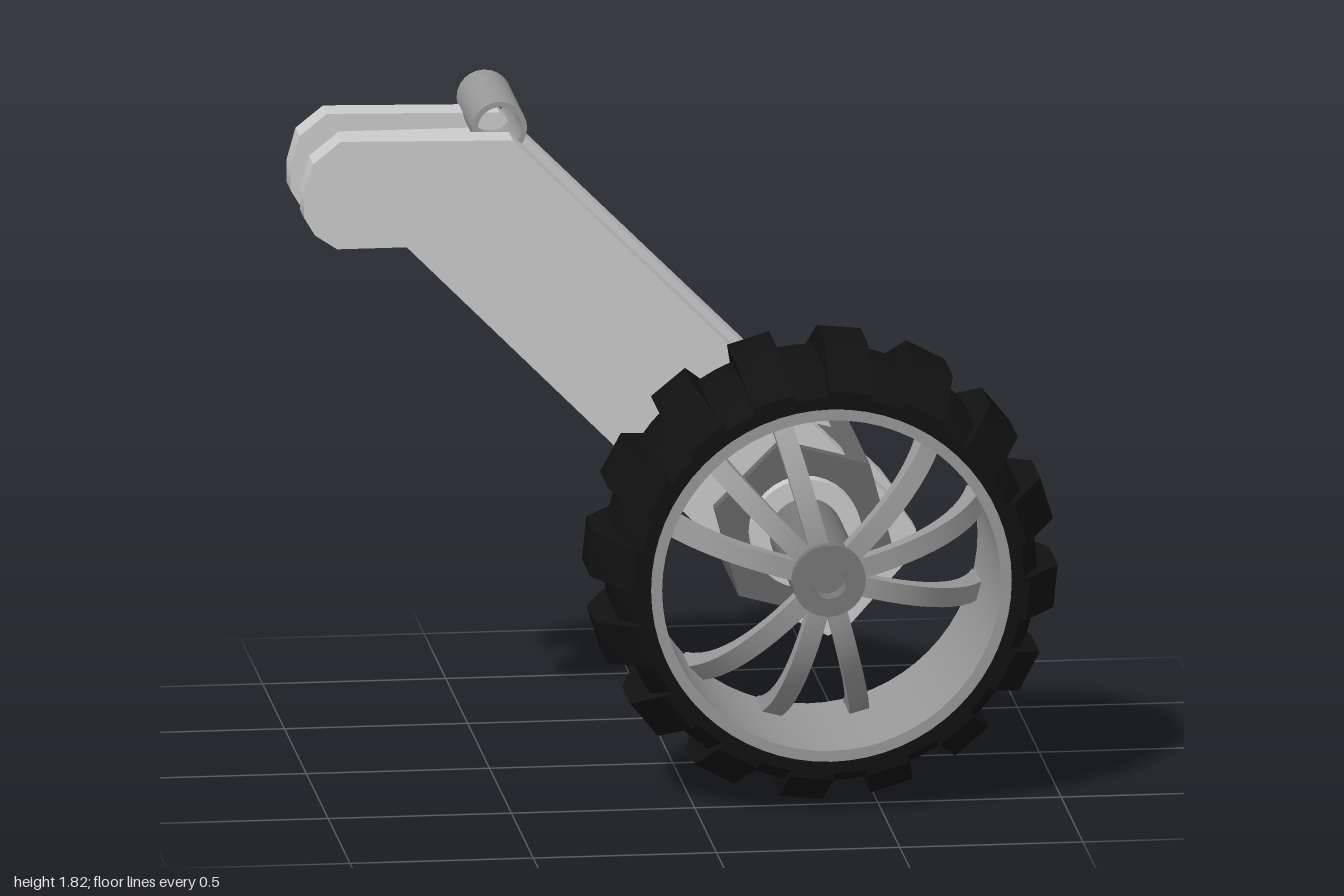
import * as THREE from 'three';
import { toCreasedNormals } from 'three/addons/utils/BufferGeometryUtils.js';

const AXLE = [0.36, 0.638];
const paint = (color) => new THREE.MeshStandardMaterial({ color, side: THREE.DoubleSide });
const light = paint(0xcccccc), metal = paint(0x999999), dark = paint(0x666666);
const rubber = paint(0x111111), capBlack = paint(0x262626);

const deg = THREE.MathUtils.degToRad;
const toShape = (pts) => new THREE.Shape(pts.map(([x, y]) => new THREE.Vector2(x, y)));

function part(parent, name, geometry, material) {
  const mesh = new THREE.Mesh(toCreasedNormals(geometry, deg(32)), material);
  mesh.name = name;
  parent.add(mesh);
  return mesh;
}

// Profile of [radius, z] points revolved around the z axis
const latheZ = (pts, segments = 48) =>
  new THREE.LatheGeometry(pts.map(([r, z]) => new THREE.Vector2(r, z)), segments).rotateX(Math.PI / 2);

// Solid cylinder along z
const rod = (r, z0, z1, sides = 32) =>
  new THREE.CylinderGeometry(r, r, z1 - z0, sides).rotateX(Math.PI / 2).translate(0, 0, (z0 + z1) / 2);

// Outline in the xy plane, extruded from z0 to z1
const slab = (pts, z0, z1) =>
  new THREE.ExtrudeGeometry(toShape(pts), { depth: z1 - z0, bevelEnabled: false }).translate(0, 0, z0);

// [radius, z] outline given a tangential thickness and turned to an angle
const radialSlab = (pts, thickness, angle) =>
  slab(pts, -thickness / 2, thickness / 2).rotateX(Math.PI / 2).rotateZ(angle);

function buildWheel() {
  const wheel = new THREE.Group();
  wheel.name = 'wheel';
  wheel.position.set(AXLE[0], AXLE[1], 0);

  part(wheel, 'tire', latheZ([
    [0.485, 0.08], [0.525, 0.08], [0.575, 0.2], [0.575, 0.49], [0.525, 0.61], [0.485, 0.61], [0.485, 0.08],
  ], 64), rubber);

  // Tread blocks
  const block = [[0.49, 0.08], [0.54, 0.08], [0.635, 0.25], [0.635, 0.44], [0.54, 0.61], [0.49, 0.61]];
  for (let i = 0; i < 16; i++) {
    part(wheel, 'treadBlock', radialSlab(block, 0.12, deg(84.4 + i * 22.5)), rubber);
  }

  part(wheel, 'rim', latheZ([
    [0.462, 0.08], [0.492, 0.08], [0.492, 0.612], [0.462, 0.612], [0.462, 0.08],
  ], 64), metal);

  // Curved spokes in three groups of three, from the front hub to the rear of the rim
  const curve = new THREE.QuadraticBezierCurve(
    new THREE.Vector2(0.07, 0.51), new THREE.Vector2(0.38, 0.51), new THREE.Vector2(0.475, 0.12));
  const inner = [], outer = [];
  for (let i = 0; i <= 12; i++) {
    const p = curve.getPoint(i / 12), t = curve.getTangent(i / 12);
    outer.push([p.x - t.y * 0.025, p.y + t.x * 0.025]);
    inner.unshift([p.x + t.y * 0.025, p.y - t.x * 0.025]);
  }
  for (let group = 0; group < 3; group++) {
    for (let k = -1; k <= 1; k++) {
      part(wheel, 'spoke', radialSlab([...outer, ...inner], 0.055, deg(15 + group * 120 + k * 30)), metal);
    }
  }

  // Hub and axle tube with a bored front end
  part(wheel, 'axle', latheZ([
    [0, 0], [0.1, 0], [0.1, 0.56], [0.05, 0.56], [0.05, 0.5], [0, 0.5],
  ], 32), dark.clone()).material.color.set(0x777777);
  return wheel;
}

function buildArm() {
  const arm = new THREE.Group();
  arm.name = 'suspensionArm';

  // Twin side plates
  const outline = [
    [-1, 1.6], [-0.975, 1.69], [-0.9, 1.75], [-0.43, 1.74], [0.62, 0.69], [0.67, 0.62], [0.66, 0.55],
    [0.49, 0.36], [0.43, 0.33], [0.35, 0.37], [-0.72, 1.45], [-0.91, 1.45], [-0.97, 1.49], [-1, 1.54],
  ];
  for (const z of [-0.145, -0.457]) part(arm, 'sidePlate', slab(outline, z, z + 0.095), light);

  // Spacer between the plates
  part(arm, 'spacerBlock', slab([
    [-0.92, 1.53], [-0.92, 1.65], [-0.87, 1.7], [-0.5, 1.7], [-0.5, 1.48], [-0.87, 1.48],
  ], -0.362, -0.145), light);

  // Hollow cross tube on top
  part(arm, 'crossTube', latheZ([
    [0.06, -0.505], [0.075, -0.505], [0.075, -0.145], [0.06, -0.145], [0.06, -0.505],
  ], 24), metal).position.set(-0.455, 1.75, 0);

  // Strut and its cap, lying along the 45 degree axis of the arm
  const strut = new THREE.Group();
  strut.name = 'strut';
  strut.position.set(AXLE[0], AXLE[1], -0.25);
  strut.rotation.z = Math.PI / 4;
  arm.add(strut);
  part(strut, 'strutRod', new THREE.CylinderGeometry(0.06, 0.06, 1, 24).translate(0, 0.6, 0), metal);
  const cap = [[0, 1], [0.07, 1], [0.095, 1.04], [0.095, 1.25], [0.06, 1.34], [0, 1.34]];
  part(strut, 'strutCap', new THREE.LatheGeometry(cap.map(([r, y]) => new THREE.Vector2(r, y)), 16), capBlack);

  // Hexagonal housing and the pin through it
  const pivot = new THREE.Group();
  pivot.name = 'pivot';
  pivot.position.set(AXLE[0], AXLE[1], 0);
  arm.add(pivot);
  part(pivot, 'hexHousing', rod(0.253, -0.5, -0.01, 6).rotateZ(deg(15)), dark);
  part(pivot, 'pivotPin', rod(0.152, -0.61, 0.035), light);
  return arm;
}

export function createModel() {
  const model = new THREE.Group();
  model.name = 'wheelAndSuspensionArm';
  model.add(buildWheel(), buildArm());
  return model;
}
